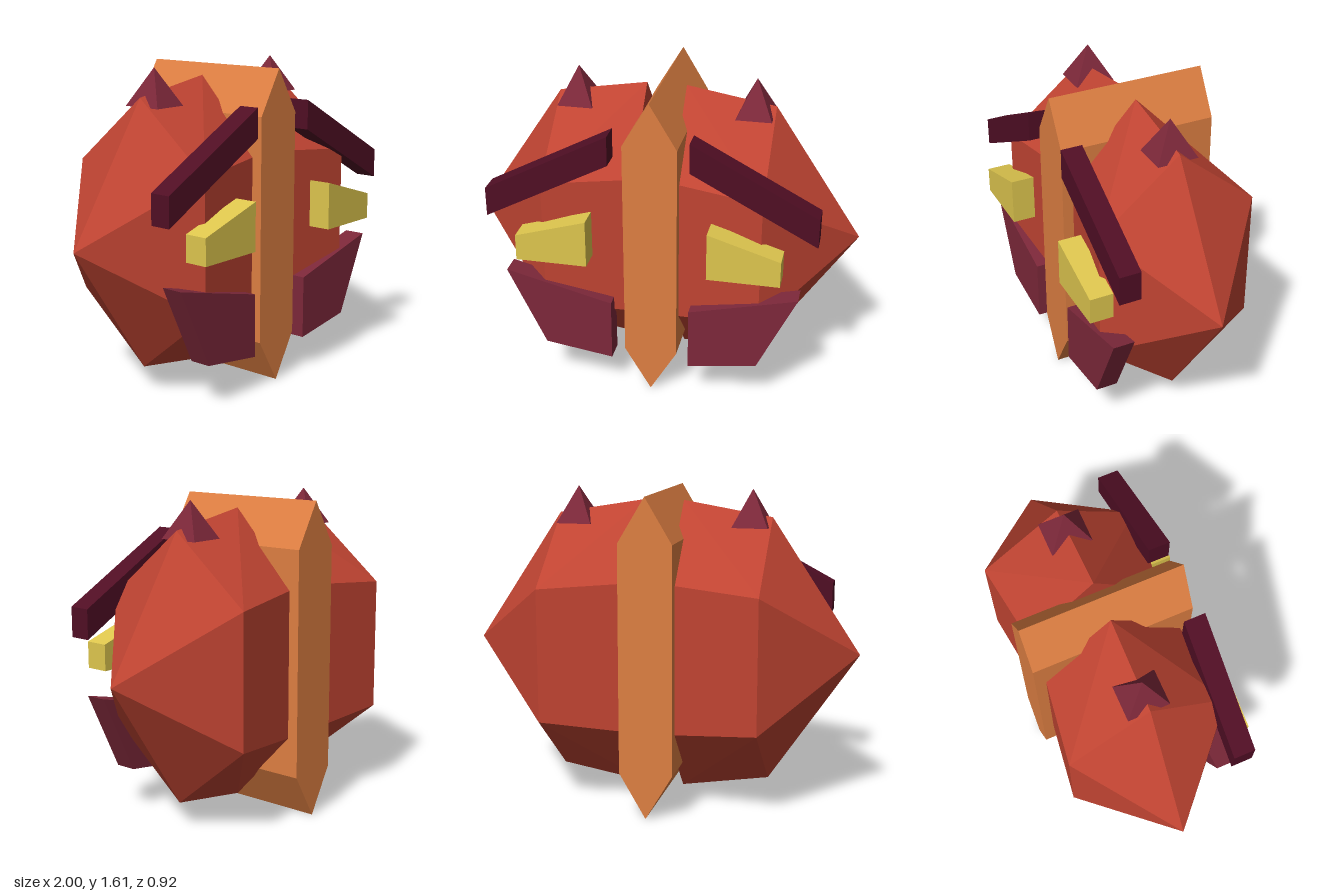
import * as THREE from 'three';
import { ConvexGeometry } from 'three/addons/geometries/ConvexGeometry.js';

const material = (name, color) => {
  const m = new THREE.MeshStandardMaterial({ color });
  m.name = name;
  return m;
};

export function createModel() {
  const model = new THREE.Group();
  model.name = 'maskedShell';

  const shellRed = material('shellRed', 0xc04432);
  const bandOrange = material('bandOrange', 0xde7f42);
  const eyeYellow = material('eyeYellow', 0xdec64e);
  const plum = material('plum', 0x7d283a);
  const darkPlum = material('darkPlum', 0x500e24);

  const add = (name, geometry, mat) => {
    const mesh = new THREE.Mesh(geometry, mat);
    mesh.name = name;
    model.add(mesh);
    return mesh;
  };

  // Front outline extruded between two depths
  const plate = (name, points, zBack, zFront, mat) => {
    const shape = new THREE.Shape(points.map(([x, y]) => new THREE.Vector2(x, y)));
    const geometry = new THREE.ExtrudeGeometry(shape, { depth: zFront - zBack, bevelEnabled: false });
    geometry.translate(0, 0, zBack);
    add(name, geometry, mat);
  };

  // Central pointed band
  plate('centreBand', [[0, 0], [0.135, 0.23], [0.135, 1.375], [0, 1.6], [-0.135, 1.375], [-0.135, 0.23]],
    -0.46, 0.36, bandOrange);

  for (const [side, s] of [['left', 1], ['right', -1]]) {
    const mirror = (points) => points.map(([x, y]) => [s * x, y]);

    // Faceted half shell: two hexagonal sections and an outer tip
    const corners = [new THREE.Vector3(s, 0.8, -0.05)];
    for (const [x, ry, rz] of [[0.1, 0.75, 0.35], [0.55, 0.675, 0.41]]) {
      for (let i = 0; i < 6; i++) {
        const a = (i * Math.PI) / 3;
        corners.push(new THREE.Vector3(s * x, 0.8 + ry * Math.cos(a),
          -0.05 + (rz * Math.sin(a)) / Math.sin(Math.PI / 3)));
      }
    }
    add(side + 'Shell', new ConvexGeometry(corners), shellRed);

    // Face plates
    plate(side + 'Brow', mirror([[0.2, 1.28], [0.825, 0.95], [0.825, 1.1], [0.2, 1.43]]), 0.28, 0.39, darkPlum);
    plate(side + 'Eye', mirror([[0.3, 0.755], [0.66, 0.755], [0.66, 0.89], [0.3, 1.0]]), 0.34, 0.46, eyeYellow);
    plate(side + 'Cheek', mirror([[0.2, 0.18], [0.55, 0.23], [0.745, 0.64], [0.2, 0.505]]), 0.27, 0.38, plum);

    // Four-sided horn
    const horn = new THREE.ConeGeometry(Math.SQRT1_2, 1, 4).rotateY(Math.PI / 4)
      .scale(0.18, 0.185, 0.21).toNonIndexed();
    horn.computeVertexNormals();
    add(side + 'Horn', horn, plum).position.set(s * 0.45, 1.52, -0.05);
  }
  return model;
}
